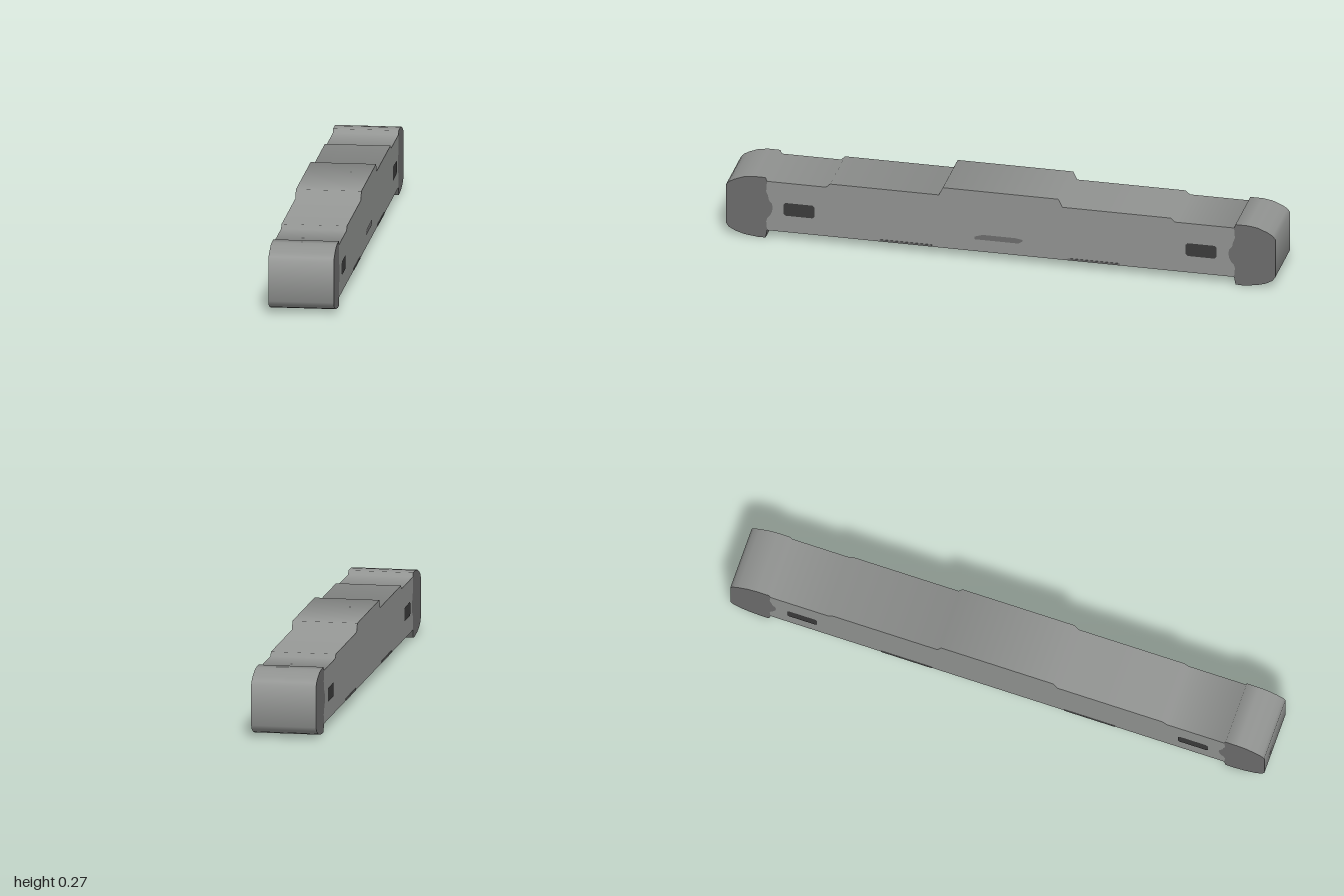
import * as THREE from 'three';

const HALF_WIDTH = 0.117;

const bodyGrey = new THREE.MeshStandardMaterial({ color: 0x909290 });
bodyGrey.name = 'body grey';
const capGrey = new THREE.MeshStandardMaterial({ color: 0x6b6b6b });
capGrey.name = 'cap grey';
const slotDark = new THREE.MeshStandardMaterial({ color: 0x3a3a3a });
slotDark.name = 'slot dark';

// Half outlines as [z, y], clockwise from top to bottom
const bodyTop = [[0.21, 0.266], [0.225, 0.236], [0.62, 0.236], [0.635, 0.222], [0.85, 0.222]];
const capOuter = [
  [0.855, 0.236], [0.9, 0.236], [0.935, 0.231], [0.97, 0.217], [0.99, 0.205], [1, 0.192],
  [1, 0.045], [0.99, 0.03], [0.965, 0.016], [0.93, 0.006], [0.88, 0], [0.855, 0.001],
];
const bodyBottom = [[0.85, 0.03]];
// Wavy edge between cap and body, bottom to top
const wave = [
  [0.85, 0.03], [0.853, 0.065], [0.848, 0.08], [0.838, 0.09], [0.832, 0.104],
  [0.829, 0.12], [0.832, 0.135], [0.843, 0.148], [0.846, 0.165], [0.853, 0.182], [0.85, 0.222],
];

const mirror = (pts) => pts.map(([z, y]) => [-z, y]).reverse();
const toShape = (pts) => new THREE.Shape(pts.map(([z, y]) => new THREE.Vector2(z, y)));

// Smooth band that wraps the closed outline across the full width
function rimGeometry(outline) {
  const n = outline.length;
  const faceNormal = (i) => {
    const a = outline[(i + n) % n], b = outline[(i + 1) % n];
    return new THREE.Vector2(a[1] - b[1], b[0] - a[0]).normalize();
  };
  const pos = [], nor = [], index = [];
  outline.forEach(([z, y], i) => {
    const m = faceNormal(i - 1).add(faceNormal(i)).normalize();
    for (const x of [-HALF_WIDTH, HALF_WIDTH]) {
      pos.push(x, y, z);
      nor.push(0, m.y, m.x);
    }
    const a = 2 * i, b = 2 * ((i + 1) % n);
    index.push(a, b, a + 1, a + 1, b, b + 1);
  });
  const g = new THREE.BufferGeometry();
  g.setAttribute('position', new THREE.Float32BufferAttribute(pos, 3));
  g.setAttribute('normal', new THREE.Float32BufferAttribute(nor, 3));
  g.setIndex(index);
  return g;
}

export function createModel() {
  const model = new THREE.Group();
  const add = (name, geometry, material) => {
    const mesh = new THREE.Mesh(geometry, material);
    mesh.name = name;
    model.add(mesh);
    return mesh;
  };

  // Stepped top, rounded ends and underside
  const half = [...bodyTop, ...capOuter, ...bodyBottom];
  add('outerBand', rimGeometry([...half, ...mirror(half)]), bodyGrey);

  // Side faces: the body between the wavy edges, and a darker cap at each end
  const waveDown = [...wave].reverse();
  const bodyHalf = [...bodyTop.slice(0, -1), ...waveDown];
  const bodyShape = toShape([...bodyHalf, ...mirror(bodyHalf)]);
  const capPts = [...capOuter, ...wave];
  const capShapes = [toShape(capPts), toShape(mirror(capPts))];
  for (const side of [-1, 1]) {
    const turn = side * Math.PI / 2;
    add('bodySide', new THREE.ShapeGeometry(bodyShape).rotateY(turn), bodyGrey).position.x = side * HALF_WIDTH;
    add('capSides', new THREE.ShapeGeometry(capShapes).rotateY(turn), capGrey).position.x = side * HALF_WIDTH;

    // Slots near the ends
    const slot = toShape([
      [-0.056, -0.018], [-0.049, -0.025], [0.049, -0.025], [0.056, -0.018],
      [0.056, 0.018], [0.049, 0.025], [-0.049, 0.025], [-0.056, 0.018],
    ]);
    for (const z of [-0.73, 0.733]) {
      add('slot', new THREE.ShapeGeometry(slot).rotateY(turn), slotDark)
        .position.set(side * (HALF_WIDTH + 0.002), 0.12, z);
    }

    // Thin strips along the lower edge
    for (const z of [-0.34, 0.345]) {
      add('lowerStrip', new THREE.BoxGeometry(0.004, 0.007, 0.19), capGrey)
        .position.set(side * HALF_WIDTH, 0.0345, z);
    }
  }

  // Slim central mark on one side
  const mark = toShape([
    [-0.09, -0.01], [0.07, -0.01], [0.085, 0], [0.085, 0.006], [0.06, 0.01], [-0.06, 0.01], [-0.09, 0],
  ]);
  add('centreMark', new THREE.ShapeGeometry(mark).rotateY(Math.PI / 2), capGrey)
    .position.set(HALF_WIDTH + 0.002, 0.087, 0.005);

  return model;
}
